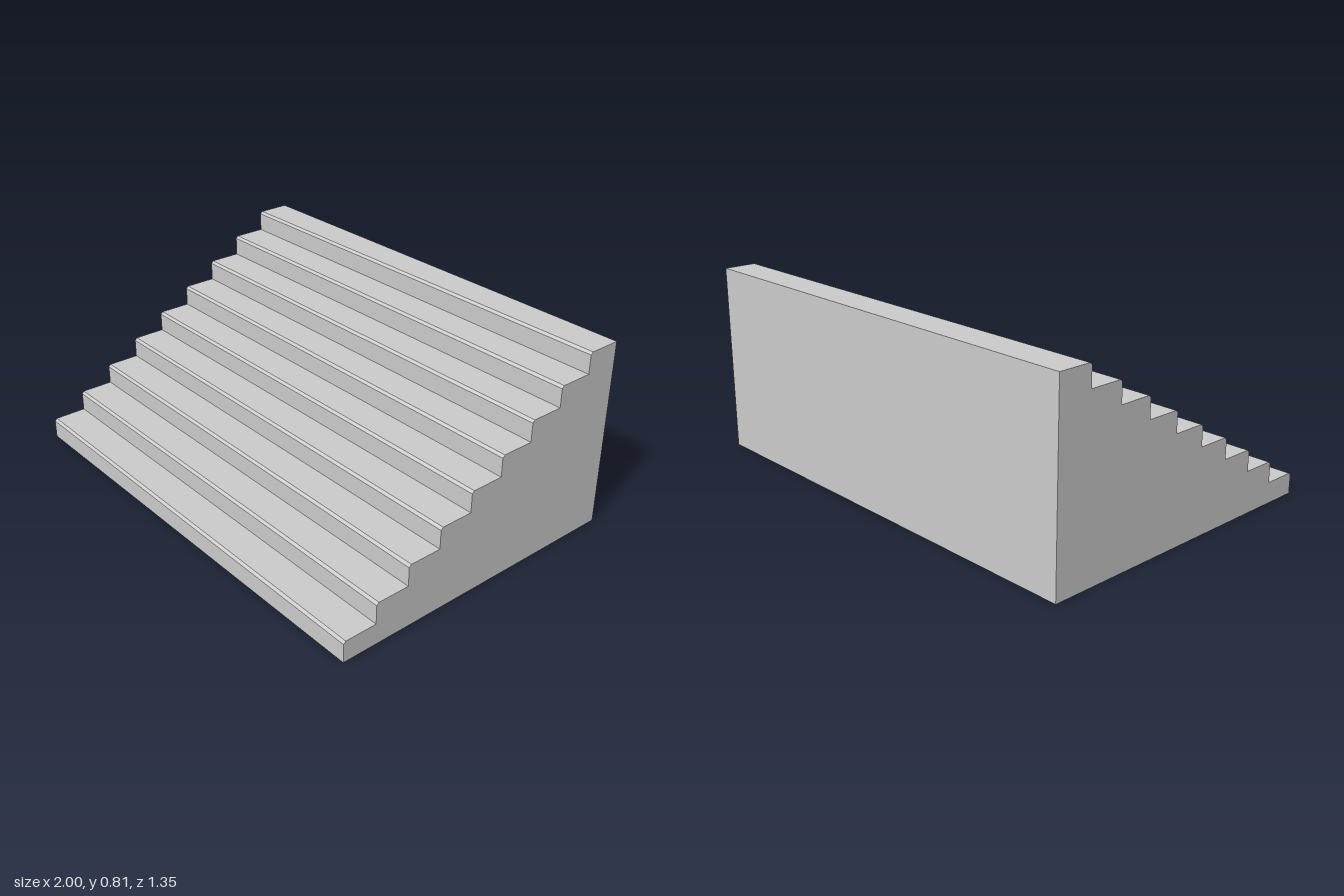
import * as THREE from 'three';

const STEPS = 9, RISE = 0.09, TREAD = 0.15, WIDTH = 2, CHAMFER = 0.01;

export function createModel() {
  const group = new THREE.Group();
  group.name = 'staircase';
  const front = (STEPS * TREAD) / 2;

  // Side profile drawn as (z, y), climbing towards the back
  const profile = new THREE.Shape();
  profile.moveTo(-front, 0);
  profile.lineTo(front, 0);
  for (let i = 0; i < STEPS; i++) {
    const z = front - i * TREAD, top = (i + 1) * RISE;
    profile.lineTo(z, top - CHAMFER); // riser
    profile.lineTo(z - CHAMFER, top); // chamfered nosing
    profile.lineTo(z - TREAD, top); // tread
  }
  profile.closePath();

  // Solid flight swept across the full width
  const geometry = new THREE.ExtrudeGeometry(profile, { depth: WIDTH, bevelEnabled: false });
  geometry.rotateY(-Math.PI / 2).translate(WIDTH / 2, 0, 0);
  const flight = new THREE.Mesh(
    geometry,
    new THREE.MeshStandardMaterial({ color: 0xcccccc, flatShading: true })
  );
  flight.name = 'stairFlight';
  group.add(flight);
  return group;
}
